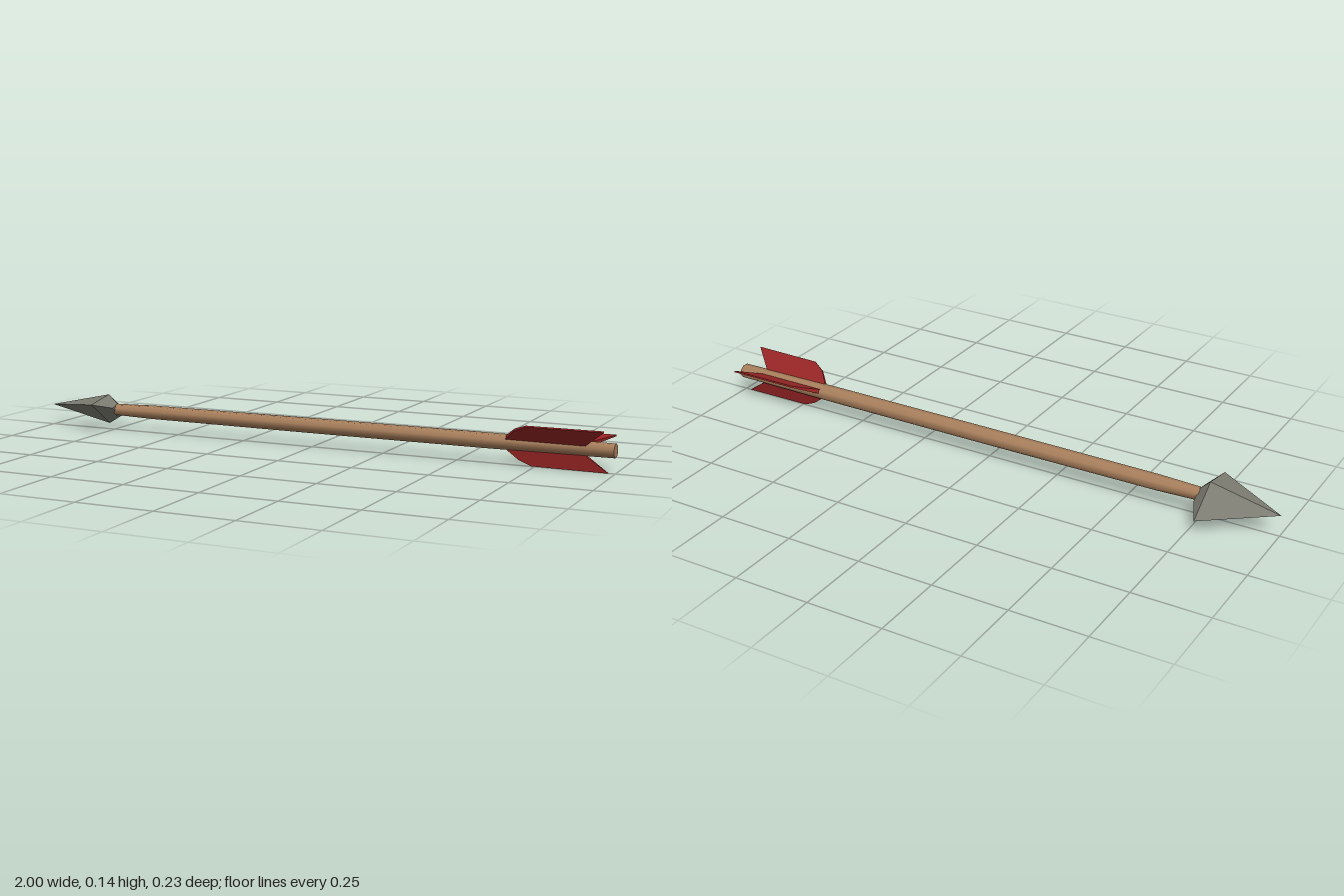
import * as THREE from 'three';
import { toCreasedNormals } from 'three/addons/utils/BufferGeometryUtils.js';

const AXIS_Y = 0.07;

const wood = new THREE.MeshStandardMaterial({ color: 0xa87f5c });
wood.name = 'wood';
const feather = new THREE.MeshStandardMaterial({ color: 0x962424 });
feather.name = 'red feather';
const steel = new THREE.MeshStandardMaterial({ color: 0x7c7c72 });
steel.name = 'grey steel';

// Revolve [radius, x] pairs around the x axis
function turned(profile, sides) {
  const points = profile.map(([r, x]) => new THREE.Vector2(r, x));
  return new THREE.LatheGeometry(points, sides).rotateZ(-Math.PI / 2);
}

// Fletching vane: swept outline, thick at the root and thin at the edge
function vaneGeometry(height) {
  const outline = [
    [0.645, 0.012], [0.66, 0.022], [0.70, height * 0.74], [0.74, height * 0.98],
    [0.98, height], [0.91, 0.022], [0.905, 0.012],
  ].map(([x, y]) => new THREE.Vector2(x, y));
  const geometry = new THREE.ExtrudeGeometry(new THREE.Shape(outline), { depth: 1, bevelEnabled: false });
  const pos = geometry.attributes.position;
  for (let i = 0; i < pos.count; i++) {
    const thickness = THREE.MathUtils.lerp(0.019, 0.005, pos.getY(i) / height);
    pos.setZ(i, (pos.getZ(i) - 0.5) * thickness);
  }
  return toCreasedNormals(geometry, 0.3);
}

export function createModel() {
  const arrow = new THREE.Group();
  arrow.name = 'arrow';
  const add = (name, geometry, material) => {
    const mesh = new THREE.Mesh(geometry, material);
    mesh.name = name;
    mesh.position.y = AXIS_Y;
    arrow.add(mesh);
    return mesh;
  };

  // Eight-sided shaft, slightly flattened and tilted with the head
  const shaft = turned([[0, -0.76], [0.022, -0.76], [0.027, -0.6], [0.029, 0], [0.029, 0.6], [0.026, 1], [0, 1]], 8);
  shaft.scale(1, 0.85, 1.02).rotateX(-0.26);
  add('shaft', toCreasedNormals(shaft, 1), wood);

  // Four-sided head, sheared into a slanted diamond section
  const head = turned([[0, -1], [1, -0.77], [0.34, -0.735], [0, -0.735]], 4);
  head.applyMatrix4(new THREE.Matrix4().makeBasis(
    new THREE.Vector3(1, 0, 0),
    new THREE.Vector3(0, 0.05, 0),
    new THREE.Vector3(0, 0.03, 0.113),
  ));
  add('arrowHead', toCreasedNormals(head, 0.05), steel);

  // Three vanes, by the y and z of their outer edge from the axis
  const vanes = [['frontVane', 0.067, 0.07], ['backVane', 0.032, -0.08], ['lowerVane', -0.07, 0.002]];
  for (const [name, y, z] of vanes) {
    add(name, vaneGeometry(Math.hypot(y, z)), feather).rotation.x = Math.atan2(z, y);
  }
  return arrow;
}
